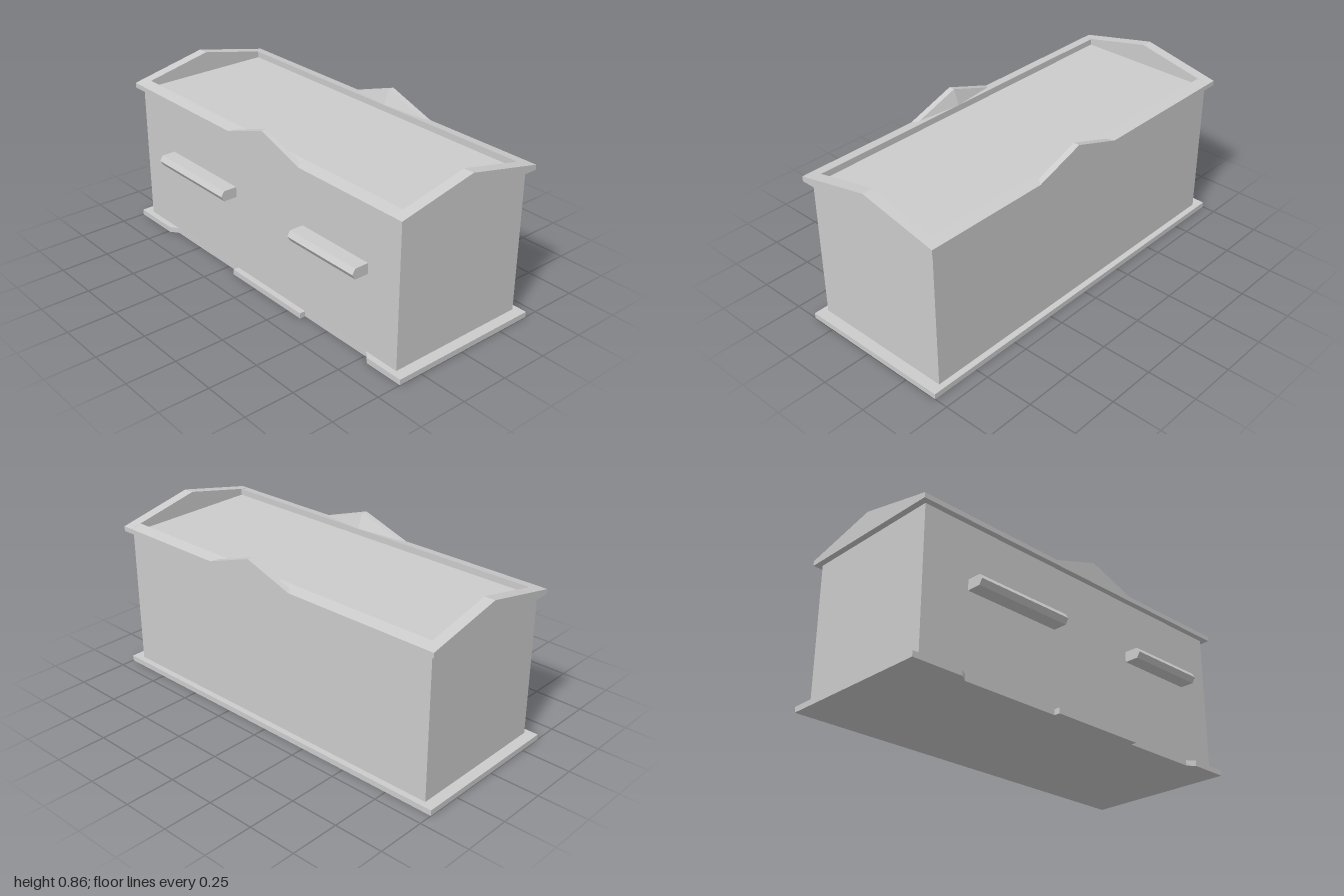
import * as THREE from 'three';

const material = new THREE.MeshStandardMaterial({ color: 0xcccccc, flatShading: true });

function add(parent, name, geometry) {
  const mesh = new THREE.Mesh(geometry, material);
  mesh.name = name;
  parent.add(mesh);
  return mesh;
}

// Prism along x between x0 and x1, from a profile of [z, y] points
function prismX(profile, x0, x1) {
  const shape = new THREE.Shape(profile.map(([z, y]) => new THREE.Vector2(-z, y)));
  const geometry = new THREE.ExtrudeGeometry(shape, { depth: x1 - x0, bevelEnabled: false });
  return geometry.rotateY(Math.PI / 2).translate(x0, 0, 0);
}

// Small pediment centred on x = 0, with a steep back that leans on the rim
function pedimentGeometry() {
  const v = [
    [-0.255, 0.77, 0.403], [0, 0.857, 0.403], [0.255, 0.77, 0.403], // front
    [-0.23, 0.7785, 0.373], [0, 0.857, 0.373], [0.23, 0.7785, 0.373], // back edge
    [0, 0.782, 0.343], // foot
  ];
  const faces = [
    [0, 2, 1], [0, 1, 4], [0, 4, 3], [1, 2, 5], [1, 5, 4], [3, 4, 6], [4, 5, 6],
  ];
  const geometry = new THREE.BufferGeometry();
  const positions = faces.flatMap((f) => f.flatMap((i) => v[i]));
  geometry.setAttribute('position', new THREE.Float32BufferAttribute(positions, 3));
  geometry.computeVertexNormals();
  return geometry;
}

export function createModel() {
  const model = new THREE.Group();
  model.name = 'building';

  // Plinth, cut back to the wall on both sides of the entrance step
  const outline = [
    [-1, -0.43], [1, -0.43], [1, 0.375], [0.795, 0.375], [0.755, 0.345],
    [0.34, 0.345], [0.34, 0.375], [-0.175, 0.375], [-0.175, 0.345],
    [-0.7, 0.345], [-0.74, 0.375], [-1, 0.375],
  ];
  const plinth = new THREE.ExtrudeGeometry(
    new THREE.Shape(outline.map(([x, z]) => new THREE.Vector2(x, -z))),
    { depth: 0.028, bevelEnabled: false },
  );
  add(model, 'plinth', plinth.rotateX(-Math.PI / 2));

  // Walls, topped by the flat roof
  const walls = new THREE.BoxGeometry(1.89, 0.722, 0.744);
  add(model, 'walls', walls.translate(0, 0.389, -0.0275));

  // Pointed ledges on the front wall
  const ledge = [[0.345, 0.42], [0.416, 0.42], [0.433, 0.447], [0.416, 0.473], [0.345, 0.473]];
  add(model, 'rightLedge', prismX(ledge, -0.695, -0.17));
  add(model, 'leftLedge', prismX(ledge, 0.325, 0.755));

  // Parapet, built around the centre of the walls
  const parapet = new THREE.Group();
  parapet.name = 'parapet';
  parapet.position.z = -0.0275;
  model.add(parapet);

  // Side gables run the full depth
  const gable = [[0.403, 0.745], [0.403, 0.77], [0, 0.857], [-0.403, 0.77], [-0.403, 0.745]];
  add(parapet, 'leftGable', prismX(gable, 0.92, 0.975));
  add(parapet, 'rightGable', prismX(gable, -0.975, -0.92));

  // Front and back rims, each with a pediment
  const rim = [[0.403, 0.745], [0.403, 0.77], [0.343, 0.782], [0.343, 0.745]];
  for (const [side, turn] of [['front', 0], ['back', Math.PI]]) {
    add(parapet, side + 'Rim', prismX(rim, -0.92, 0.92)).rotation.y = turn;
    const pediment = add(parapet, side + 'Pediment', pedimentGeometry());
    pediment.rotation.y = turn;
    pediment.position.x = 0.08;
  }

  return model;
}
